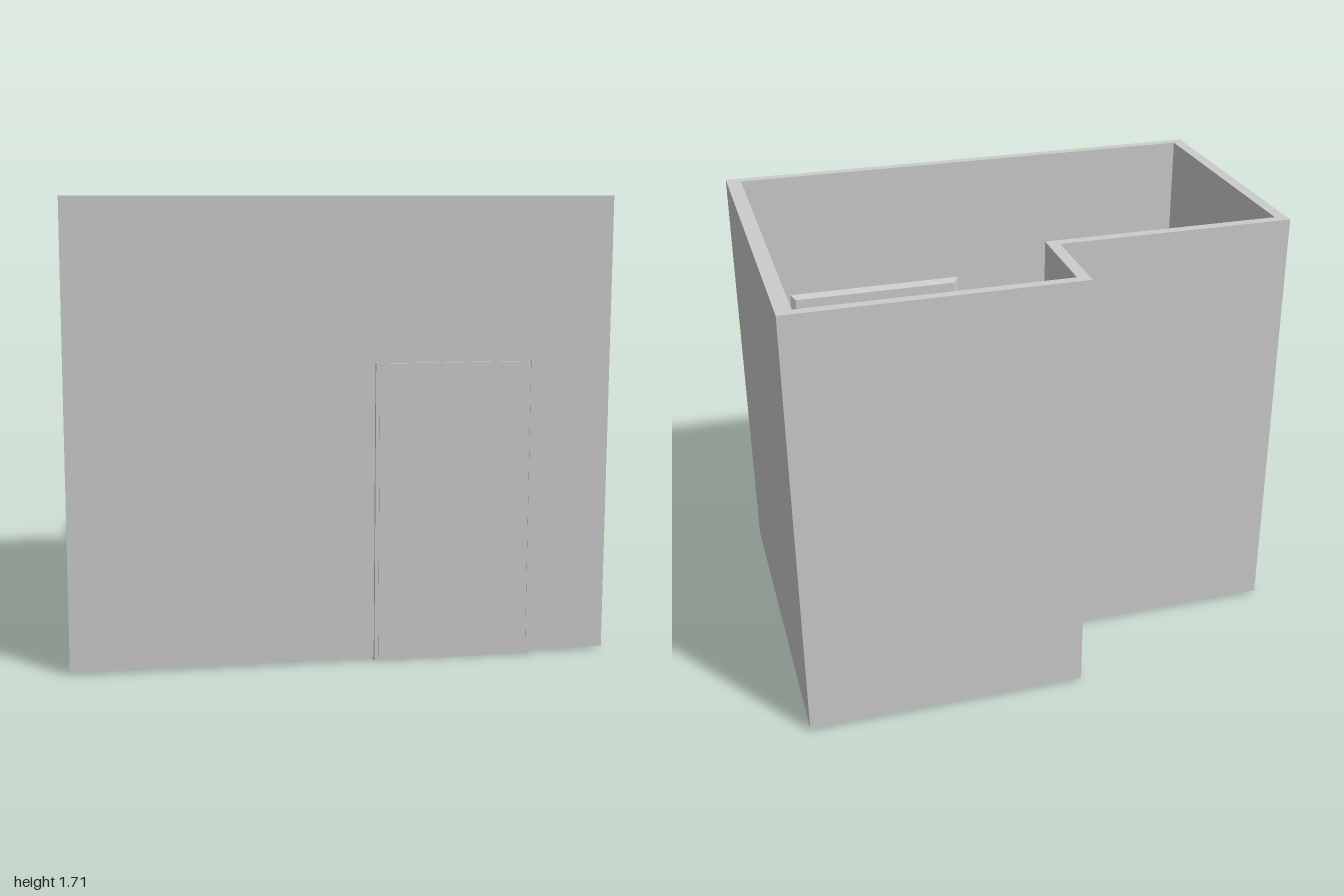
import * as THREE from 'three';
import { toCreasedNormals } from 'three/addons/utils/BufferGeometryUtils.js';

const mat = new THREE.MeshStandardMaterial({ color: 0xcccccc, side: THREE.DoubleSide });
const V = (x, y, z) => new THREE.Vector3(x, y, z);

function add(parent, name, geometry) {
  const mesh = new THREE.Mesh(geometry, mat);
  mesh.name = name;
  parent.add(mesh);
  return mesh;
}

// Box given by its limits on each axis
function box(parent, name, [x0, x1], [y0, y1], [z0, z1]) {
  const mesh = add(parent, name, new THREE.BoxGeometry(x1 - x0, y1 - y0, z1 - z0));
  mesh.position.set((x0 + x1) / 2, (y0 + y1) / 2, (z0 + z1) / 2);
  return mesh;
}

// Round pipe through points with small rounded bends
function pipe(parent, name, points, r, bend = 0.025) {
  const path = new THREE.CurvePath();
  let from = points[0];
  for (let i = 1; i < points.length - 1; i++) {
    const p = points[i];
    const a = p.clone().add(points[i - 1].clone().sub(p).setLength(bend));
    const b = p.clone().add(points[i + 1].clone().sub(p).setLength(bend));
    path.add(new THREE.LineCurve3(from, a));
    path.add(new THREE.QuadraticBezierCurve3(a, p, b));
    from = b;
  }
  path.add(new THREE.LineCurve3(from, points[points.length - 1]));
  return add(parent, name, new THREE.TubeGeometry(path, 40, r, 12));
}

// Skin over a list of cross-sections with equal point counts
function loft(rings, crease) {
  const pos = [], idx = [], n = rings[0].length;
  rings.forEach(ring => ring.forEach(p => pos.push(p.x, p.y, p.z)));
  for (let i = 0; i < rings.length - 1; i++) {
    for (let j = 0; j < n - 1; j++) {
      const a = i * n + j, b = a + 1, d = a + n, c = d + 1;
      idx.push(a, d, b, b, d, c);
    }
  }
  const g = new THREE.BufferGeometry();
  g.setAttribute('position', new THREE.Float32BufferAttribute(pos, 3));
  g.setIndex(idx);
  return toCreasedNormals(g, crease);
}

function ellipse(cx, y, cz, rx, rz, n = 40) {
  return Array.from({ length: n + 1 }, (_, i) => {
    const t = (i % n) / n * Math.PI * 2;
    return V(cx + rx * Math.cos(t), y, cz + rz * Math.sin(t));
  });
}

// Plan outline (x, z) raised to a prism
function prism(outline, y0, y1, hole) {
  const toPts = o => o.map(([x, z]) => new THREE.Vector2(x, -z));
  const shape = new THREE.Shape(toPts(outline));
  if (hole) shape.holes.push(new THREE.Path(toPts(hole)));
  return new THREE.ExtrudeGeometry(shape, { depth: y1 - y0, bevelEnabled: false })
    .rotateX(-Math.PI / 2).translate(0, y0, 0);
}

function makeDoor() {
  const door = new THREE.Group();
  door.name = 'door';
  box(door, 'doorLeaf', [0.13, 0.695], [0, 1.11], [0.668, 0.722]);
  for (const x of [0.115, 0.695]) {
    box(door, 'doorJamb', [x, x + 0.014], [0, 1.113], [0.667, 0.724]);
    box(door, 'latchPlate', [x + 0.003, x + 0.013], [0.48, 0.51], [0.7, 0.725]);
  }
  // Bevelled casing round the inside of the doorway
  const profile = [[0, 0.673], [0, 0.655], [0.06, 0.655], [0.08, 0.673]];
  const rings = profile.map(([o, z]) => [
    V(0.12 - o, 0.01, z), V(0.12 - o, 1.11 + o, z),
    V(0.70 + o, 1.11 + o, z), V(0.70 + o, 0.01, z)]);
  add(door, 'doorCasing', loft(rings, 0.2));
  // Lever handle
  const rose = add(door, 'handleRose', new THREE.CylinderGeometry(0.02, 0.02, 0.008, 24));
  rose.rotation.x = Math.PI / 2;
  rose.position.set(0.612, 0.5, 0.664);
  pipe(door, 'doorLever', [V(0.612, 0.5, 0.665), V(0.612, 0.5, 0.631), V(0.525, 0.5, 0.631)], 0.008, 0.012);
  return door;
}

function makeToilet() {
  const toilet = new THREE.Group();
  toilet.name = 'toilet';
  // Pedestal flaring into the bowl: y, centre x, radius x, radius z
  const sections = [
    [0, -0.655, 0, 0], [0, -0.655, 0.12, 0.085], [0.06, -0.655, 0.112, 0.08],
    [0.12, -0.65, 0.115, 0.085], [0.17, -0.632, 0.135, 0.105], [0.22, -0.605, 0.162, 0.128],
    [0.25, -0.592, 0.175, 0.138], [0.272, -0.588, 0.18, 0.142], [0.272, -0.588, 0, 0]];
  add(toilet, 'bowl', loft(sections.map(([y, cx, rx, rz]) => ellipse(cx, y, 0.253, rx, rz)), 0.7));
  add(toilet, 'bowlBack', prism([[-0.88, 0.175], [-0.82, 0.172], [-0.68, 0.14],
    [-0.68, 0.365], [-0.82, 0.335], [-0.88, 0.325]], 0.16, 0.272));
  // Closed seat and lid
  const lid = [[0.272, 0, 0], [0.272, 0.185, 0.141], [0.278, 0.192, 0.148], [0.288, 0.192, 0.148],
    [0.29, 0.187, 0.143], [0.292, 0.192, 0.148], [0.302, 0.19, 0.146], [0.307, 0.18, 0.137], [0.308, 0, 0]];
  add(toilet, 'seatAndLid', loft(lid.map(([y, rx, rz]) => ellipse(-0.587, y, 0.253, rx, rz)), 0.5));
  box(toilet, 'lidHinge', [-0.785, -0.75], [0.27, 0.297], [0.2, 0.305]);
  // Cistern with its pipes
  box(toilet, 'cistern', [-0.895, -0.742], [0.52, 0.73], [-0.07, 0.143]);
  box(toilet, 'cisternLid', [-0.9, -0.735], [0.73, 0.755], [-0.077, 0.15]);
  pipe(toilet, 'flushPipe', [V(-0.848, 0.57, 0.14), V(-0.848, 0.57, 0.262), V(-0.848, 0.265, 0.262)], 0.01);
  pipe(toilet, 'supplyPipe', [V(-0.832, 0.66, -0.07), V(-0.832, 0.66, -0.15)], 0.009);
  const cap = add(toilet, 'supplyPipeEnd', new THREE.SphereGeometry(0.011, 16, 12));
  cap.position.set(-0.832, 0.66, -0.15);
  return toilet;
}

function makeWashstand() {
  const stand = new THREE.Group();
  stand.name = 'washstand';
  box(stand, 'counter', [-0.04, 0.945], [0.40, 0.45], [-0.692, -0.355]);
  // Round basin with an open bowl
  const profile = [[0, 0.45], [0.06, 0.45], [0.095, 0.475], [0.116, 0.515], [0.122, 0.545],
    [0.119, 0.549], [0.109, 0.547], [0.102, 0.515], [0.082, 0.48], [0.05, 0.463], [0, 0.458]];
  const basin = add(stand, 'basin', toCreasedNormals(
    new THREE.LatheGeometry(profile.map(p => new THREE.Vector2(...p)), 48), 0.8));
  basin.position.set(0.43, 0, -0.508);
  const drain = add(stand, 'drain', new THREE.CylinderGeometry(0.011, 0.011, 0.006, 20));
  drain.position.set(0.43, 0.461, -0.508);
  // Tap and its control
  pipe(stand, 'spout', [V(0.43, 0.45, -0.645), V(0.43, 0.62, -0.645), V(0.43, 0.62, -0.52), V(0.43, 0.6, -0.508)], 0.006, 0.014);
  pipe(stand, 'tapStem', [V(0.472, 0.45, -0.645), V(0.472, 0.56, -0.645)], 0.006);
  const knob = add(stand, 'tapKnob', new THREE.CylinderGeometry(0.011, 0.011, 0.022, 20));
  knob.position.set(0.472, 0.565, -0.648);
  pipe(stand, 'tapLever', [V(0.472, 0.568, -0.648), V(0.472, 0.575, -0.618)], 0.004);
  return stand;
}

export function createModel() {
  const model = new THREE.Group();
  model.name = 'bathroom';
  // Room walls, open above and below
  const outer = [[-1, 0.71], [1, 0.71], [1, -0.727], [-0.082, -0.727], [-0.082, -0.372], [-1, -0.372]];
  const inner = [[-0.955, 0.672], [0.943, 0.672], [0.943, -0.69], [-0.037, -0.69], [-0.037, -0.332], [-0.955, -0.332]];
  add(model, 'walls', prism(outer, 0.01, 1.71, inner));
  model.add(makeDoor(), makeToilet(), makeWashstand());
  return model;
}
